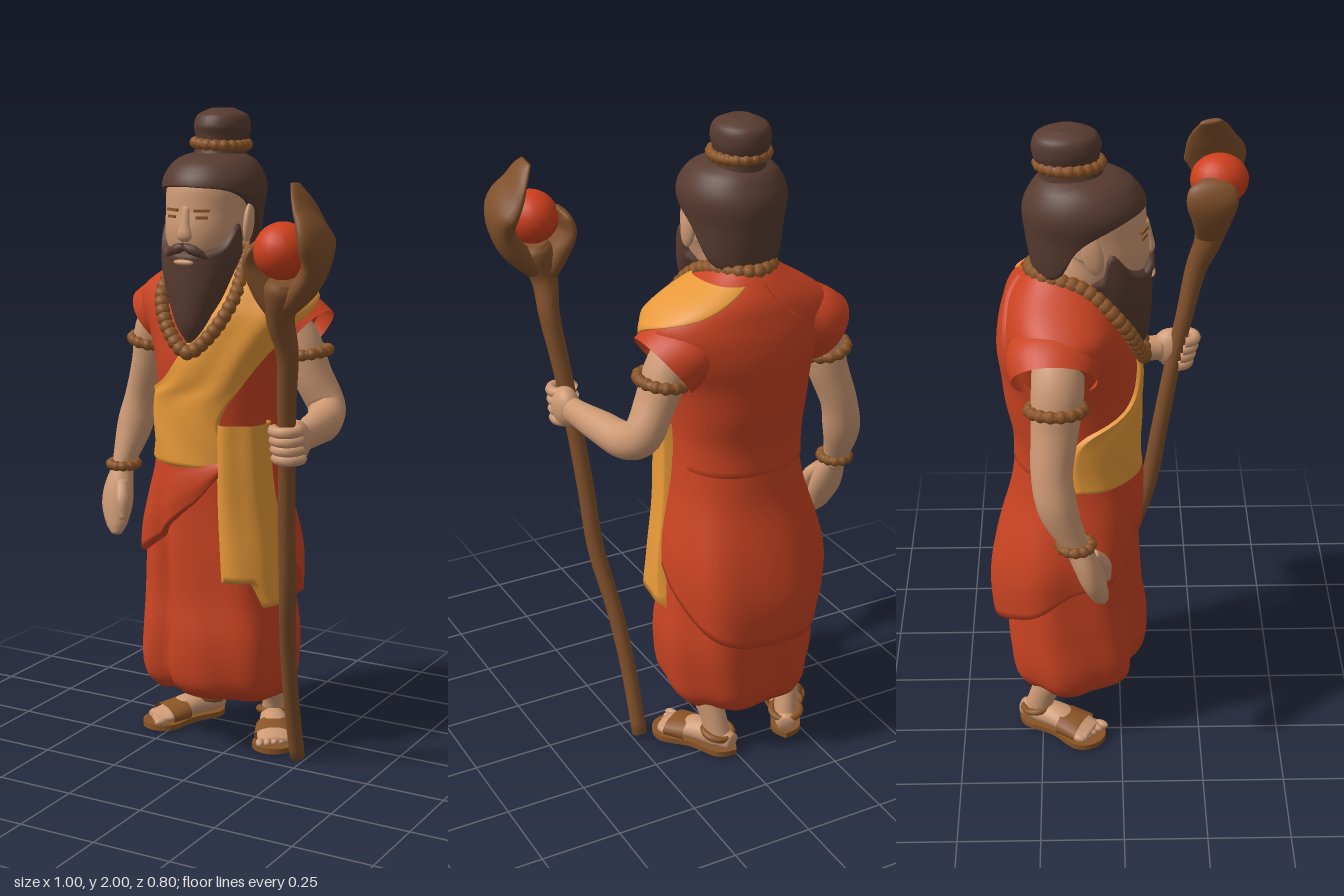
import * as THREE from 'three';
import { mergeGeometries } from 'three/addons/utils/BufferGeometryUtils.js';

const mat = (name, color) => {
  const m = new THREE.MeshStandardMaterial({ color, side: THREE.DoubleSide });
  m.name = name;
  return m;
};
const RAD = Math.PI / 180, CX = -0.085;
const V = (x, y, z) => new THREE.Vector3(x, y, z);

// Smooth interpolation of rows keyed by their first number
function sample(rows, t) {
  let i = 0;
  while (i < rows.length - 2 && t > rows[i + 1][0]) i++;
  const a = rows[i], b = rows[i + 1], p = rows[Math.max(i - 1, 0)], n = rows[Math.min(i + 2, rows.length - 1)];
  const h = b[0] - a[0], s = Math.min(1, Math.max(0, (t - a[0]) / h)), s2 = s * s, s3 = s2 * s;
  return a.slice(1).map((v, k) => {
    const m0 = (b[k + 1] - p[k + 1]) / (b[0] - p[0]) * h, m1 = (n[k + 1] - v) / (n[0] - a[0]) * h;
    return (2 * s3 - 3 * s2 + 1) * v + (s3 - 2 * s2 + s) * m0 + (3 * s2 - 2 * s3) * b[k + 1] + (s3 - s2) * m1;
  });
}

// Surface from a rule f(u, v) -> Vector3
function grid(f, nu, nv, closed) {
  const pos = [], idx = [], w = closed ? nu : nu + 1;
  for (let j = 0; j <= nv; j++) for (let i = 0; i < w; i++) pos.push(...f(i / nu, j / nv).toArray());
  for (let j = 0; j < nv; j++) for (let i = 0; i < nu; i++) {
    const a = j * w + i, b = j * w + (i + 1) % w;
    idx.push(a, b, b + w, a, b + w, a + w);
  }
  const g = new THREE.BufferGeometry();
  g.setAttribute('position', new THREE.Float32BufferAttribute(pos, 3));
  g.setIndex(idx);
  g.computeVertexNormals();
  return g;
}

// Limb through rows [x, y, z, side radius, depth radius], its ends closed unless caps is false
function limb(rows, nu = 20, caps = true) {
  const c = new THREE.CatmullRomCurve3(rows.map(r => V(r[0], r[1], r[2]))), nv = rows.length * 5;
  const radii = rows.map((r, i) => [i / (rows.length - 1), r[3], r[4]]);
  return grid((u, v) => {
    const k = caps && (v === 0 || v === 1) ? 0 : 1, a = u * 2 * Math.PI;
    const s = caps ? THREE.MathUtils.clamp((v * nv - 1) / (nv - 2), 0, 1) : v;
    const t = c.getTangent(s), U = V(1, 0, 0).addScaledVector(t, -t.x).normalize(), W = U.clone().cross(t);
    const [ru, rv] = sample(radii, s);
    return c.getPoint(s).addScaledVector(U, ru * k * Math.sin(a)).addScaledVector(W, rv * k * Math.cos(a));
  }, nu, nv, true);
}

// Point on a stack of ovals: rows [y, cx, cz, rx, rz]; angle 0 is the front, 90 the left side
function oval(rows, y, deg, off = 0, pow = 1) {
  const [cx, cz, rx, rz] = sample(rows, y), s = Math.sin(deg * RAD), c = Math.cos(deg * RAD);
  const q = v => Math.sign(v) * Math.abs(v) ** pow;
  return V(cx + (rx + off) * q(s), y, cz + (rz + off) * q(c));
}

const bodyRows = [
  [0.16, CX, -0.15, 0.2, 0.175], [0.2, CX, -0.14, 0.232, 0.202], [0.27, CX, -0.137, 0.246, 0.213], [0.38, -0.08, -0.14, 0.246, 0.215],
  [0.5, CX, -0.145, 0.236, 0.205], [0.65, -0.09, -0.14, 0.225, 0.195], [0.8, -0.09, -0.135, 0.203, 0.185],
  [0.95, CX, -0.13, 0.188, 0.182], [1.05, CX, -0.13, 0.188, 0.182], [1.15, -0.08, -0.14, 0.197, 0.192],
  [1.25, -0.075, -0.145, 0.215, 0.198], [1.33, -0.07, -0.155, 0.25, 0.197], [1.4, -0.07, -0.16, 0.285, 0.185],
  [1.45, -0.075, -0.165, 0.28, 0.168], [1.5, -0.075, -0.17, 0.22, 0.148], [1.55, CX, -0.17, 0.13, 0.115],
  [1.58, CX, -0.17, 0.09, 0.09]];
// Robe surface with soft folds in the skirt
function body(y, deg, off = 0) {
  const skirt = THREE.MathUtils.smoothstep(0.95 - y, 0, 0.45), d = ((deg + 540) % 360) - 180;
  const fold = skirt * (0.008 * Math.sin(deg * RAD * 7 + y * 5) - 0.035 * Math.exp(-(((d + 28) / 9) ** 2)));
  return oval(bodyRows, y, deg, off + fold, 0.89);
}

const hairRows = [[1.53, CX, -0.15, 0.09, 0.09], [1.6, CX, -0.125, 0.125, 0.13], [1.7, CX, -0.105, 0.142, 0.165],
  [1.77, CX, -0.1, 0.155, 0.175], [1.82, CX, -0.1, 0.14, 0.155], [1.86, CX, -0.11, 0.1, 0.11], [1.88, CX, -0.13, 0.03, 0.03]];
const beardRows = [[1.3, CX, 0.04, 0.01, 0.012], [1.36, CX, 0.035, 0.05, 0.045], [1.45, CX, 0.02, 0.087, 0.07],
  [1.53, CX, 0, 0.115, 0.092], [1.6, CX, -0.03, 0.127, 0.122], [1.72, CX, -0.048, 0.127, 0.127]];
const hairline = [[0, 1.775], [45, 1.765], [75, 1.73], [95, 1.68], [115, 1.58], [180, 1.54]];
const beardline = [[0, 1.59], [40, 1.6], [60, 1.62], [84, 1.68], [100, 1.6], [180, 1.55]];
const sashEdges = [[0.92, -92, 50], [1.05, -94, 27], [1.12, -80, 31], [1.18, -35, 43], [1.24, -17, 54],
  [1.35, 0, 72], [1.43, 10, 95], [1.48, 16, 140], [1.56, 18, 165]];
const wrapHem = [[27, 0.9], [60, 0.72], [90, 0.6], [130, 0.46], [180, 0.39], [230, 0.45], [270, 0.57], [300, 0.61], [335, 0.7], [387, 0.91]];

export function createModel() {
  const red = mat('red cloth', 0xc94322), saffron = mat('saffron cloth', 0xe69838), skin = mat('skin', 0xcd9974);
  const hair = mat('dark hair', 0x583b30), bead = mat('bead brown', 0x8a5426), wood = mat('wood', 0x7f4f2a), orbRed = mat('orb red', 0xcd3f1c);
  const root = new THREE.Group();
  const add = (name, geo, m, parent = root) => {
    const o = new THREE.Mesh(geo, m);
    o.name = name;
    parent.add(o);
    return o;
  };
  const ball = (name, m, p, r, parent = root) => {
    const o = add(name, new THREE.SphereGeometry(1, 20, 14), m, parent);
    o.position.set(...p);
    o.scale.set(...r);
    return o;
  };
  const beads = (name, pts, n, r) => {
    const c = new THREE.CatmullRomCurve3(pts, true), parts = [new THREE.TubeGeometry(c, 60, r * 0.8, 8, true)];
    for (let i = 0; i < n; i++) {
      const p = c.getPointAt(i / n);
      parts.push(new THREE.SphereGeometry(r, 8, 6).translate(p.x, p.y, p.z));
    }
    add(name, mergeGeometries(parts), bead);
  };
  const ring = (x, y, z, rx, rz, tilt = 0) => Array.from({ length: 12 }, (_, i) => {
    const a = i * Math.PI / 6;
    return V(x + rx * Math.cos(a), y + tilt * Math.cos(a), z - rz * Math.sin(a));
  });

  // Robe, with the hem closed underneath
  add('robe', grid((u, v) => {
    if (v === 0) return V(CX, 0.22, -0.14);
    const s = (v - 0.01) / 0.99, p = body(0.16 + 1.42 * s, u * 360);
    p.y += 0.02 * Math.max(0, Math.cos(u * 2 * Math.PI)) * Math.max(0, 1 - s * 6);
    return p;
  }, 96, 100, true), red);
  // Upper layer of the skirt, fullest just above its hem
  add('skirtWrap', grid((u, v) => {
    const a = 27 + 360 * u, y0 = sample(wrapHem, a)[0];
    const full = sample([[0, 0.7], [0.3, 1], [0.55, 0.75], [0.8, 0.2], [1, 0]], v)[0];
    const bulge = (0.018 + 0.034 * Math.max(0, -Math.cos(a * RAD))) * full + 0.004;
    return body(y0 + (0.97 - y0) * v, a, v === 0 ? -0.01 : bulge);
  }, 90, 24), red);
  // Cloth crossing the back from the left shoulder to the right hip
  add('backDrape', grid((u, v) => {
    const y = 0.95 + 0.6 * v, a1 = sample([[0.95, 262], [1.2, 236], [1.4, 208], [1.55, 182]], y)[0];
    return body(y, 100 + (a1 - 100) * u, u === 0 || u === 1 || v === 0 ? -0.002 : 0.009);
  }, 40, 40), red);

  // Sash across the chest, its belt folds and its hanging end
  add('sash', grid((u, v) => {
    const y = 0.92 + 0.63 * v, [a0, a1] = sample(sashEdges, y);
    const edge = u === 0 || u === 1 || v === 0 ? 0 : 0.013;
    return body(y, a0 + (a1 - a0) * u, edge + 0.003 * Math.sin(u * 14 + v * 9) * (edge ? 1 : 0));
  }, 48, 60), saffron);
  add('sashEnd', grid((u, v) => {
    const y0 = 0.57 - 0.085 * THREE.MathUtils.smoothstep(u, 0.35, 0.55), y = y0 + (1.07 - y0) * v;
    const a1 = sample([[0.48, 92], [0.75, 84], [1.07, 78]], y)[0];
    const off = 0.01 + 0.04 * Math.sin(Math.PI * u) ** 0.4 + 0.004 * Math.sin(u * 12 + 1);
    return body(y, 24 + (a1 - 24) * u, v === 0 || u === 0 || u === 1 ? 0.002 : off);
  }, 40, 30), saffron);

  // Cap sleeves
  for (const s of [-1, 1]) {
    const rows = [[0.15, 1.385, 0.08, 0.125], [0.21, 1.355, 0.105, 0.135], [0.262, 1.315, 0.11, 0.122]];
    add(s < 0 ? 'rightSleeve' : 'leftSleeve',
      limb(rows.map(r => [-0.075 + s * r[0], r[1] + (s < 0 ? 0.025 : 0), -0.19, r[2], r[3]]), 32, false), red);
  }

  // Arms and hands
  add('rightArm', limb([[-0.27, 1.42, -0.18, 0.06, 0.07], [-0.34, 1.32, -0.18, 0.065, 0.075], [-0.37, 1.2, -0.19, 0.06, 0.068],
    [-0.41, 1.08, -0.2, 0.055, 0.06], [-0.432, 0.98, -0.185, 0.057, 0.058], [-0.445, 0.87, -0.14, 0.037, 0.04], [-0.445, 0.83, -0.125, 0.034, 0.036]]), skin);
  add('rightHand', limb([[-0.445, 0.86, -0.135, 0.03, 0.035], [-0.445, 0.79, -0.105, 0.05, 0.038], [-0.44, 0.73, -0.085, 0.053, 0.036],
    [-0.43, 0.67, -0.065, 0.034, 0.026], [-0.425, 0.645, -0.055, 0.015, 0.015]]), skin);
  add('rightThumb', limb([[-0.425, 0.81, -0.09, 0.02, 0.02], [-0.4, 0.76, -0.055, 0.022, 0.022], [-0.392, 0.7, -0.045, 0.012, 0.012]], 12), skin);
  add('leftArm', limb([[0.1, 1.4, -0.18, 0.06, 0.07], [0.165, 1.3, -0.18, 0.065, 0.073], [0.21, 1.2, -0.185, 0.058, 0.068],
    [0.255, 1.11, -0.19, 0.058, 0.06], [0.278, 1.075, -0.13, 0.055, 0.056], [0.302, 1.075, -0.02, 0.05, 0.05], [0.322, 1.075, 0.1, 0.037, 0.042], [0.327, 1.075, 0.14, 0.035, 0.042]]), skin);
  ball('leftHand', skin, [0.332, 1.075, 0.17], [0.042, 0.064, 0.06]);
  for (let i = 0; i < 4; i++) {
    const f = add('leftFinger', new THREE.TorusGeometry(0.036, 0.017, 8, 16, Math.PI * 1.5), skin);
    f.rotation.set(Math.PI / 2, 0, -1.6);
    f.position.set(0.322, 1.03 + i * 0.028, 0.19 + i * 0.007);
  }

  // Arm rings
  beads('rightArmlet', ring(-0.358, 1.265, -0.185, 0.064, 0.076, -0.012), 15, 0.019);
  beads('leftArmlet', ring(0.187, 1.27, -0.183, 0.068, 0.076, 0.01), 15, 0.019);
  beads('bracelet', ring(-0.444, 0.86, -0.135, 0.042, 0.045), 12, 0.017);

  // Necklace
  const half = [[0.07, 1.34, 0.055], [0.125, 1.45, 0.005], [0.105, 1.55, -0.1], [0.06, 1.575, -0.225]];
  const side = s => half.map(p => V(CX + s * p[0], p[1], p[2]));
  beads('necklace', [V(CX, 1.285, 0.07), ...side(-1), V(CX, 1.575, -0.255), ...side(1).reverse()], 42, 0.024);

  // Head
  add('head', limb([[CX, 1.48, -0.16, 0.075, 0.075], [CX, 1.55, -0.1, 0.085, 0.1], [CX, 1.62, -0.05, 0.116, 0.13],
    [CX, 1.7, -0.05, 0.121, 0.126], [CX, 1.77, -0.06, 0.12, 0.125], [CX, 1.83, -0.07, 0.08, 0.08]], 32), skin);
  add('nose', limb([[CX, 1.72, 0.07, 0.012, 0.01], [CX, 1.67, 0.079, 0.017, 0.013], [CX, 1.635, 0.083, 0.025, 0.015], [CX, 1.62, 0.078, 0.014, 0.008]], 12), skin);
  add('hair', grid((u, v) => {
    const a = u * 360, y0 = sample(hairline, a > 180 ? 360 - a : a)[0];
    return oval(hairRows, y0 + (1.88 - y0) * v, a, v === 0 ? -0.03 : 0);
  }, 64, 24, true), hair);
  add('beard', grid((u, v) => {
    const a = u * 360, y1 = sample(beardline, a > 180 ? 360 - a : a)[0];
    return oval(beardRows, 1.3 + (y1 - 1.3) * v, a, v === 1 ? -0.025 : 0);
  }, 64, 24, true), hair);
  add('bun', limb([[CX, 1.82, -0.13, 0.09, 0.1], [CX, 1.89, -0.14, 0.074, 0.085], [CX, 1.94, -0.147, 0.083, 0.098],
    [CX, 1.98, -0.147, 0.074, 0.085], [CX, 2.0, -0.147, 0.035, 0.04]], 28), hair);
  beads('bunTie', ring(CX, 1.895, -0.14, 0.077, 0.087, -0.004), 20, 0.018);
  ball('lip', skin, [CX, 1.558, 0.09], [0.034, 0.009, 0.011]);
  for (const s of [-1, 1]) {
    ball('ear', skin, [CX + s * 0.129, 1.67, -0.078], [0.014, 0.06, 0.03]).rotation.set(-0.2, s * 0.15, 0);
    add('moustache', limb([[CX, 1.605, 0.085, 0.012, 0.012], [CX + s * 0.035, 1.592, 0.083, 0.016, 0.014], [CX + s * 0.075, 1.565, 0.06, 0.007, 0.007]], 12), hair);
    for (const [name, y, w] of [['brow', 1.71, 0.048], ['eye', 1.69, 0.036]]) {
      const e = add(name, new THREE.BoxGeometry(w, 0.008, 0.008), bead);
      e.position.set(CX + s * 0.05, y, 0.066);
      e.rotation.set(0, s * 0.42, 0);
    }
  }

  // Legs and sandalled feet
  for (const s of [-1, 1]) {
    const foot = new THREE.Group();
    foot.name = s < 0 ? 'rightFoot' : 'leftFoot';
    foot.position.set(CX + s * 0.16, 0, -0.2);
    foot.rotation.y = s * 0.5;
    root.add(foot);
    add('leg', limb([[-s * 0.02, 0.32, 0.01, 0.055, 0.06], [-s * 0.005, 0.2, -0.02, 0.045, 0.05], [0, 0.12, -0.055, 0.037, 0.042], [0, 0.03, -0.08, 0.038, 0.045]]), skin, foot);
    add('footTop', limb([[0, 0.04, -0.13, 0.028, 0.025], [0, 0.046, -0.08, 0.04, 0.036], [0, 0.048, 0, 0.046, 0.036], [0, 0.034, 0.08, 0.055, 0.022], [0, 0.028, 0.125, 0.046, 0.014]]), skin, foot);
    for (let i = 0; i < 5; i++) ball('toe', skin, [s * (i * 0.023 - 0.046), 0.028, 0.13 - i * 0.008], [0.013, 0.013, 0.024], foot);
    const sole = new THREE.Shape(new THREE.SplineCurve([[0, -0.145], [0.045, -0.1], [0.045, 0], [0.07, 0.1], [0.03, 0.155],
      [-0.03, 0.155], [-0.07, 0.1], [-0.045, 0], [-0.045, -0.1], [0, -0.145]].map(p => new THREE.Vector2(p[0], -p[1]))).getPoints(40));
    add('sole', new THREE.ExtrudeGeometry(sole, { depth: 0.018, bevelEnabled: false }).rotateX(-Math.PI / 2), bead, foot);
    add('frontStrap', limb([[0, 0.04, 0.02, 0.058, 0.038], [0, 0.034, 0.09, 0.064, 0.03]], 24, false), bead, foot);
    add('heelStrap', new THREE.TorusGeometry(0.046, 0.011, 8, 24).rotateX(Math.PI / 2 - 0.2).translate(0, 0.065, -0.075), bead, foot);
  }

  // Staff with a forked head holding an orb
  add('staff', limb([[0.222, 0.002, -0.08, 0.024, 0.024], [0.228, 0.2, -0.025, 0.024, 0.024], [0.245, 0.4, 0.035, 0.025, 0.025],
    [0.275, 0.6, 0.1, 0.026, 0.028], [0.288, 0.8, 0.135, 0.026, 0.027], [0.305, 1.0, 0.17, 0.026, 0.026], [0.325, 1.2, 0.212, 0.028, 0.028],
    [0.342, 1.35, 0.245, 0.032, 0.034], [0.338, 1.45, 0.28, 0.04, 0.044], [0.355, 1.53, 0.295, 0.055, 0.06], [0.362, 1.56, 0.3, 0.04, 0.05]]), wood);
  add('shortProng', limb([[0.335, 1.46, 0.28, 0.03, 0.04], [0.295, 1.53, 0.285, 0.035, 0.06], [0.268, 1.6, 0.285, 0.025, 0.078],
    [0.28, 1.645, 0.285, 0.02, 0.07], [0.298, 1.67, 0.285, 0.008, 0.03]]), wood);
  add('longProng', limb([[0.345, 1.47, 0.285, 0.03, 0.04], [0.415, 1.535, 0.295, 0.036, 0.055], [0.456, 1.6, 0.3, 0.034, 0.062],
    [0.458, 1.67, 0.302, 0.036, 0.096], [0.424, 1.74, 0.29, 0.022, 0.08], [0.4, 1.79, 0.285, 0.014, 0.055], [0.382, 1.82, 0.28, 0.008, 0.03]]), wood);
  ball('orb', orbRed, [0.36, 1.64, 0.31], [0.08, 0.08, 0.09]);
  return root;
}
